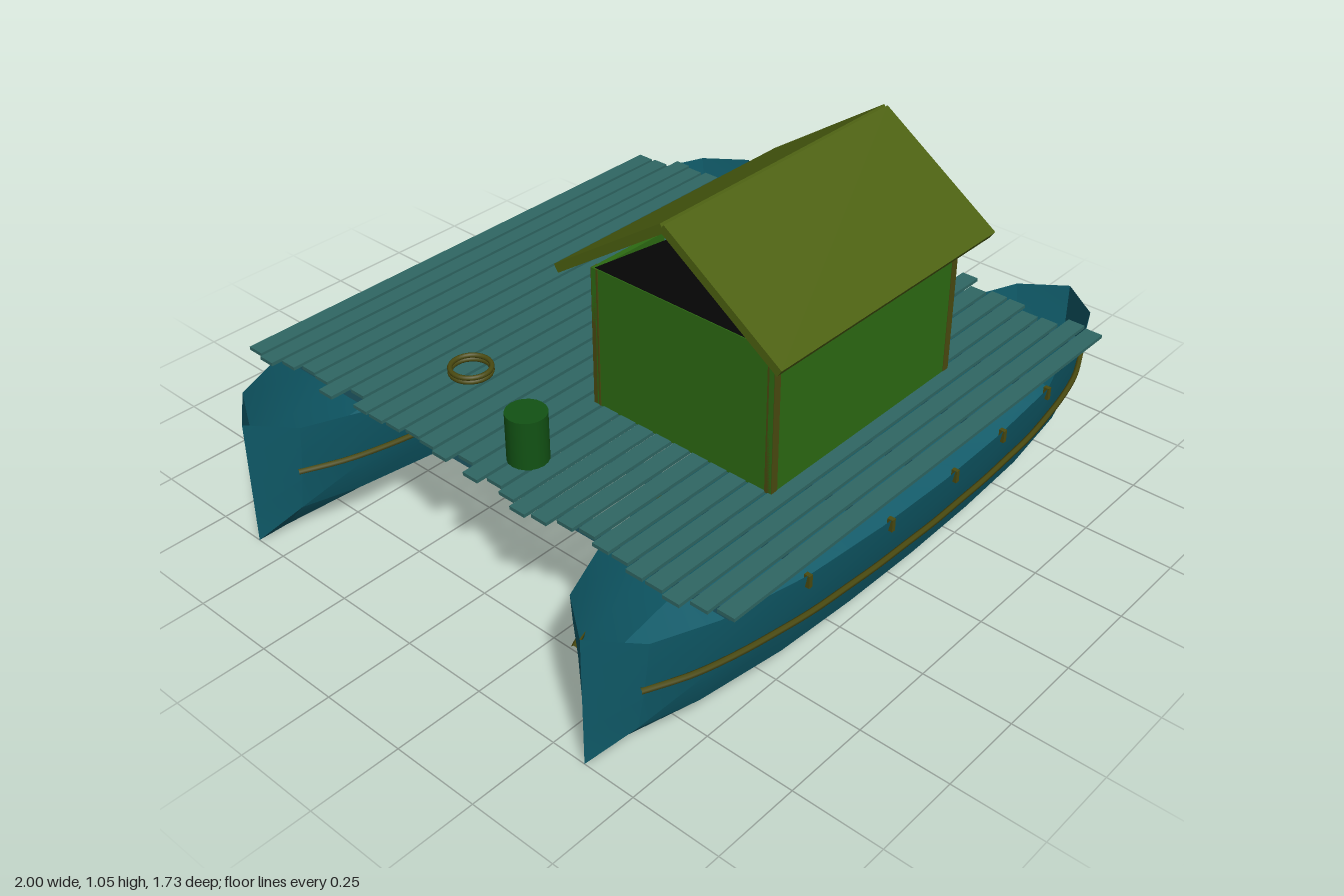
import * as THREE from 'three';
import { toCreasedNormals } from 'three/addons/utils/BufferGeometryUtils.js';

const mat = (color, side = THREE.FrontSide) => new THREE.MeshStandardMaterial({ color, side });
const teal = mat(0x0f5a68, THREE.DoubleSide);
const plankMat = mat(0x2f6663);
const beamMat = mat(0x1f5a66);
const green = mat(0x2c6a12);
const roofMat = mat(0x4c6010);
const olive = mat(0x4a4a10);
const dark = mat(0x0a0a0a, THREE.DoubleSide);
const blue = mat(0x2c5a88);
const darkGreen = mat(0x125214);

function add(parent, name, geometry, material, x = 0, y = 0, z = 0) {
  const mesh = new THREE.Mesh(geometry, material);
  mesh.name = name;
  mesh.position.set(x, y, z);
  parent.add(mesh);
  return mesh;
}
const box = (parent, name, w, h, d, material, x, y, z) =>
  add(parent, name, new THREE.BoxGeometry(w, h, d), material, x, y, z);

// Half breadth of a hull along its length
const PLAN = [[0, 0.26], [0.25, 0.254], [0.5, 0.235], [0.75, 0.185], [0.91, 0.12], [1, 0]];
function breadth(x) {
  const a = Math.min(Math.abs(x), 1);
  const i = Math.max(1, PLAN.findIndex(p => p[0] >= a));
  const [x0, w0] = PLAN[i - 1], [x1, w1] = PLAN[i];
  return w0 + (w1 - w0) * (a - x0) / (x1 - x0);
}

// Open hull lofted from V-shaped sections
function hullGeometry() {
  const half = [[0.18, 0.1], [0.218, 0.2], [0.246, 0.3], [0.26, 0.37]];
  const section = [...half.map(([z, y]) => [-z, y]).reverse(), [0, 0], ...half];
  const stations = [...PLAN.slice(1).map(p => -p[0]).reverse(), ...PLAN.map(p => p[0])];
  const pos = [], index = [], n = section.length;
  stations.forEach((x, i) => {
    for (const [z, y] of section) pos.push(x, y, z / 0.26 * breadth(x));
    if (!i) return;
    for (let j = 0; j < n - 1; j++) {
      const a = (i - 1) * n + j, b = i * n + j;
      index.push(a, b, b + 1, a, b + 1, a + 1);
    }
  });
  const g = new THREE.BufferGeometry();
  g.setAttribute('position', new THREE.Float32BufferAttribute(pos, 3));
  g.setIndex(index);
  return toCreasedNormals(g, 0.45);
}

function buildHull(z) {
  const hull = new THREE.Group();
  hull.name = 'hull';
  hull.position.z = z;
  add(hull, 'hullShell', hullGeometry(), teal);
  for (const s of [-1, 1]) {
    // Rubbing rail along each flank
    const pts = [];
    for (let i = 0; i <= 16; i++) {
      const x = -0.92 + i * 0.115;
      pts.push(new THREE.Vector3(x, 0.23, s * (breadth(x) * 0.89 + 0.008)));
    }
    add(hull, 'rubRail', new THREE.TubeGeometry(new THREE.CatmullRomCurve3(pts), 48, 0.008, 6), olive);
    // Lashing cleats under the gunwale
    for (const x of [-0.5, -0.21, 0.05, 0.27, 0.51])
      box(hull, 'lashing', 0.012, 0.035, 0.016, olive, x, 0.352, s * breadth(x) * 0.985);
  }
  return hull;
}

function buildCabin() {
  const cabin = new THREE.Group();
  cabin.name = 'cabin';
  const t = 0.015, y = 0.602, h = 0.4;
  box(cabin, 'frontWall', 0.73, h, t, green, 0, y, 0.602);
  for (const s of [-1, 1]) {
    box(cabin, 'sideWall', t, h, 0.57, green, s * 0.355, y, 0.32);
    box(cabin, 'backWall', 0.25, h, t, green, s * 0.24, y, 0.038);
    // Gable ends
    const tri = new THREE.Shape([[-0.285, 0], [0.285, 0], [0, 0.2]].map(p => new THREE.Vector2(...p)));
    const gable = add(cabin, 'gable', new THREE.ShapeGeometry(tri), dark, s * 0.36, 0.8, 0.32);
    gable.rotation.y = s * Math.PI / 2;
    // Roof slopes
    const slope = box(cabin, 'roofSlope', 0.85, 0.024, 0.425, roofMat, 0, 0.922, 0.32 + s * 0.174);
    slope.rotation.x = s * 0.6;
    // Corner posts
    for (const z of [0.04, 0.6]) box(cabin, 'cornerPost', 0.022, h, 0.022, olive, s * 0.354, y, z);
  }
  box(cabin, 'halfDoor', 0.23, 0.14, 0.012, olive, 0, 0.472, 0.032);
  // Simple furniture inside
  box(cabin, 'tableTop', 0.18, 0.015, 0.14, blue, 0.08, 0.6, 0.4);
  box(cabin, 'tableLeg', 0.03, 0.19, 0.03, olive, 0.08, 0.5, 0.4);
  box(cabin, 'stool', 0.1, 0.1, 0.1, blue, 0.02, 0.455, 0.24);
  return cabin;
}

export function createModel() {
  const boat = new THREE.Group();
  boat.name = 'catamaran';
  boat.add(buildHull(0.6), buildHull(-0.6));

  // Cross beams joining the hulls
  for (let i = -3; i <= 3; i++)
    box(boat, 'crossBeam', 0.036, 0.026, 1.6, beamMat, i * 0.24, 0.382, 0);

  // Deck planks with uneven ends
  const shift = [-0.025, 0.01, 0.025, -0.01, 0.005, -0.015, 0, -0.028, 0.012, -0.008];
  for (let i = 0; i < 28; i++)
    box(boat, 'deckPlank', 1.55 + 0.015 * (i % 3 - 1), 0.01, 0.05, plankMat,
      shift[(i * 7 + (i / 10 | 0)) % 10], 0.4, -0.815 + i * 0.06);

  boat.add(buildCabin());

  // Flat panels hung along the outer back flank
  [0.55, 0.24, -0.07, -0.37, -0.68].forEach((x, i) => {
    const panel = box(boat, 'sidePanel', 0.27, 0.14, 0.008, blue,
      x, 0.2 + 0.012 * (i % 2 ? -1 : 1), -0.6 - breadth(x) * 0.9 - 0.02);
    const slope = (breadth(x + 0.1) - breadth(x - 0.1)) / 0.2;
    panel.rotation.set(-0.16, Math.atan(slope), 0.03 * (i % 3 - 1), 'YXZ');
  });

  // Deck cargo
  box(boat, 'crate', 0.112, 0.095, 0.112, blue, 0.575, 0.452, -0.363).rotation.y = 0.1;
  box(boat, 'crate', 0.112, 0.095, 0.112, blue, 0.615, 0.452, -0.223).rotation.y = -0.33;
  add(boat, 'barrel', new THREE.CylinderGeometry(0.054, 0.054, 0.137, 20), darkGreen, -0.643, 0.472, 0.075);
  for (const y of [0.412, 0.424])
    add(boat, 'ropeCoil', new THREE.TorusGeometry(0.055, 0.007, 8, 28), olive, -0.483, y, -0.305)
      .rotation.x = Math.PI / 2;

  return boat;
}
